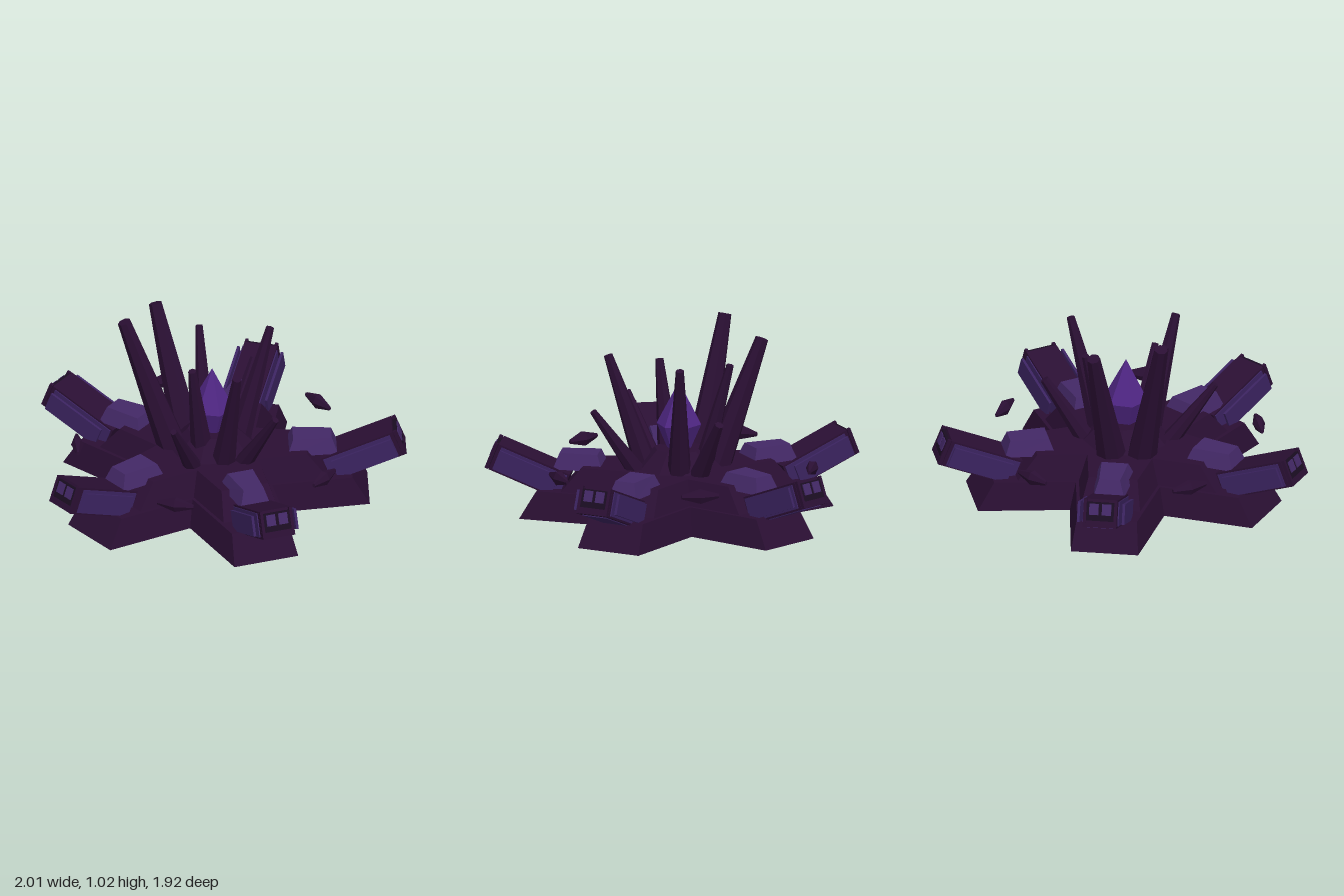
import * as THREE from 'three';

const paint = (name, color) => new THREE.MeshStandardMaterial({ name, color, flatShading: true });

export function createModel() {
  const dark = paint('dark plum', 0x2a0f33);
  const shade = paint('near black', 0x1a0d22);
  const violet = paint('violet panel', 0x3b2360);
  const pale = paint('pale violet', 0x432866);
  const glow = paint('crystal purple', 0x4f2683);

  const model = new THREE.Group();
  const root = new THREE.Group();
  root.name = 'fortress';
  root.position.z = -0.07;
  model.add(root);

  const add = (parent, name, geo, mat, x = 0, y = 0, z = 0) => {
    const m = new THREE.Mesh(geo, mat);
    m.name = name;
    m.position.set(x, y, z);
    parent.add(m);
    return m;
  };
  const box = (parent, name, size, mat, x, y, z) =>
    add(parent, name, new THREE.BoxGeometry(...size), mat, x, y, z);

  // Five-armed star slab whose top is drawn in towards the middle
  function starTier(tip, half, valley, height, taper) {
    const pts = [];
    for (let i = 0; i < 5; i++) {
      const a = i * Math.PI * 0.4, s = Math.sin(a), c = Math.cos(a);
      for (const w of [-half, half])
        pts.push(new THREE.Vector2(tip * s + w * c, -(tip * c - w * s)));
      const b = a + Math.PI / 5;
      pts.push(new THREE.Vector2(valley * Math.sin(b), -valley * Math.cos(b)));
    }
    const g = new THREE.ExtrudeGeometry(new THREE.Shape(pts), { depth: height, bevelEnabled: false });
    g.rotateX(-Math.PI / 2);
    const p = g.attributes.position;
    for (let i = 0; i < p.count; i++)
      if (p.getY(i) > height / 2) p.setXYZ(i, p.getX(i) * taper, p.getY(i), p.getZ(i) * taper);
    g.computeVertexNormals();
    return g;
  }
  add(root, 'lowerStarBase', starTier(0.83, 0.18, 0.43, 0.15, 0.89), dark);
  add(root, 'upperStarBase', starTier(0.61, 0.16, 0.36, 0.13, 0.82), dark, 0, 0.15, 0);
  add(root, 'core', new THREE.CylinderGeometry(0.13, 0.23, 0.1, 10), dark, 0, 0.33, 0);

  // Box with a smaller top and a narrower outer end
  function roofBlock(w, h, d) {
    const g = new THREE.BoxGeometry(w, h, d);
    const p = g.attributes.position;
    for (let i = 0; i < p.count; i++) {
      const top = p.getY(i) > 0 ? 0.68 : 1;
      const outer = p.getZ(i) > 0 ? 0.78 : 1;
      p.setX(i, p.getX(i) * top * outer);
      p.setZ(i, p.getZ(i) * (p.getY(i) > 0 ? 0.76 : 1));
    }
    g.computeVertexNormals();
    return g;
  }

  for (let i = 0; i < 5; i++) {
    const arm = new THREE.Group();
    arm.name = 'arm';
    arm.rotation.y = i * Math.PI * 0.4;
    root.add(arm);
    add(arm, 'roofBlock', roofBlock(0.21, 0.085, 0.27), pale, 0, 0.295, 0.53);

    // Raised beam, its origin at the middle of the outer end
    const beam = new THREE.Group();
    beam.name = 'beam';
    beam.position.set(0, 0.315, 0.99);
    beam.rotation.x = -0.38;
    arm.add(beam);
    box(beam, 'beamBody', [0.18, 0.15, 0.41], dark, 0, 0, -0.215);
    box(beam, 'undersidePanel', [0.14, 0.008, 0.34], violet, 0, -0.076, -0.2);
    box(beam, 'endPlate', [0.15, 0.12, 0.02], shade, 0, 0, 0);
    box(beam, 'endSill', [0.18, 0.035, 0.02], dark, 0, -0.057, 0.002);
    for (const s of [-1, 1]) {
      box(beam, 'endWindow', [0.05, 0.06, 0.008], pale, s * 0.034, 0.022, 0.012);
      box(beam, 'endPillar', [0.016, 0.15, 0.02], dark, s * 0.082, 0, 0.003);
      box(beam, 'sidePanel', [0.008, 0.13, 0.38], violet, s * 0.092, 0, -0.22);
      box(beam, 'sideRail', [0.014, 0.11, 0.34], violet, s * 0.12, 0, -0.2);
    }

    // Floating shard between two arms
    const gap = new THREE.Group();
    gap.name = 'shardMount';
    gap.rotation.y = (i + 0.5) * Math.PI * 0.4;
    root.add(gap);
    const shard = add(gap, 'floatingShard', new THREE.CylinderGeometry(0.012, 0.042, 0.1, 6), dark, 0.05, 0.295, 0.715);
    shard.rotation.z = -Math.PI / 2;
    shard.scale.z = 0.8;
    const twin = shard.clone();
    twin.position.x = -0.05;
    twin.rotation.z = Math.PI / 2;
    gap.add(twin);
  }

  // Leaning spikes: tip x, y, z, tip radius, base radius
  const up = new THREE.Vector3(0, 1, 0);
  const spikes = [
    [-0.43, 1.01, -0.18, 0.036, 0.085], [-0.165, 0.95, -0.42, 0.036, 0.085],
    [0.35, 0.89, -0.06, 0.022, 0.07], [0, 0.87, 0.38, 0.024, 0.07],
    [0.03, 0.85, -0.28, 0.02, 0.06], [-0.16, 0.82, 0.13, 0.022, 0.07],
    [0.2, 0.61, 0.43, 0.018, 0.055], [0.34, 0.6, -0.27, 0.024, 0.06],
    [-0.34, 0.59, 0.33, 0.018, 0.055],
  ];
  for (const [x, y, z, r, R] of spikes) {
    const tip = new THREE.Vector3(x, y, z);
    const foot = new THREE.Vector3(x * 0.4, 0.2, z * 0.4);
    const dir = tip.clone().sub(foot);
    const mid = tip.clone().add(foot).multiplyScalar(0.5);
    const m = add(root, 'spike', new THREE.CylinderGeometry(r, R, dir.length(), 7), dark, mid.x, mid.y, mid.z);
    m.quaternion.setFromUnitVectors(up, dir.normalize());
  }

  // Central crystal
  add(root, 'crystalTop', new THREE.ConeGeometry(0.12, 0.23, 6), glow, 0, 0.625, 0);
  add(root, 'crystalLower', new THREE.CylinderGeometry(0.12, 0.03, 0.21, 6, 1, true), glow, 0, 0.405, 0);

  return model;
}
